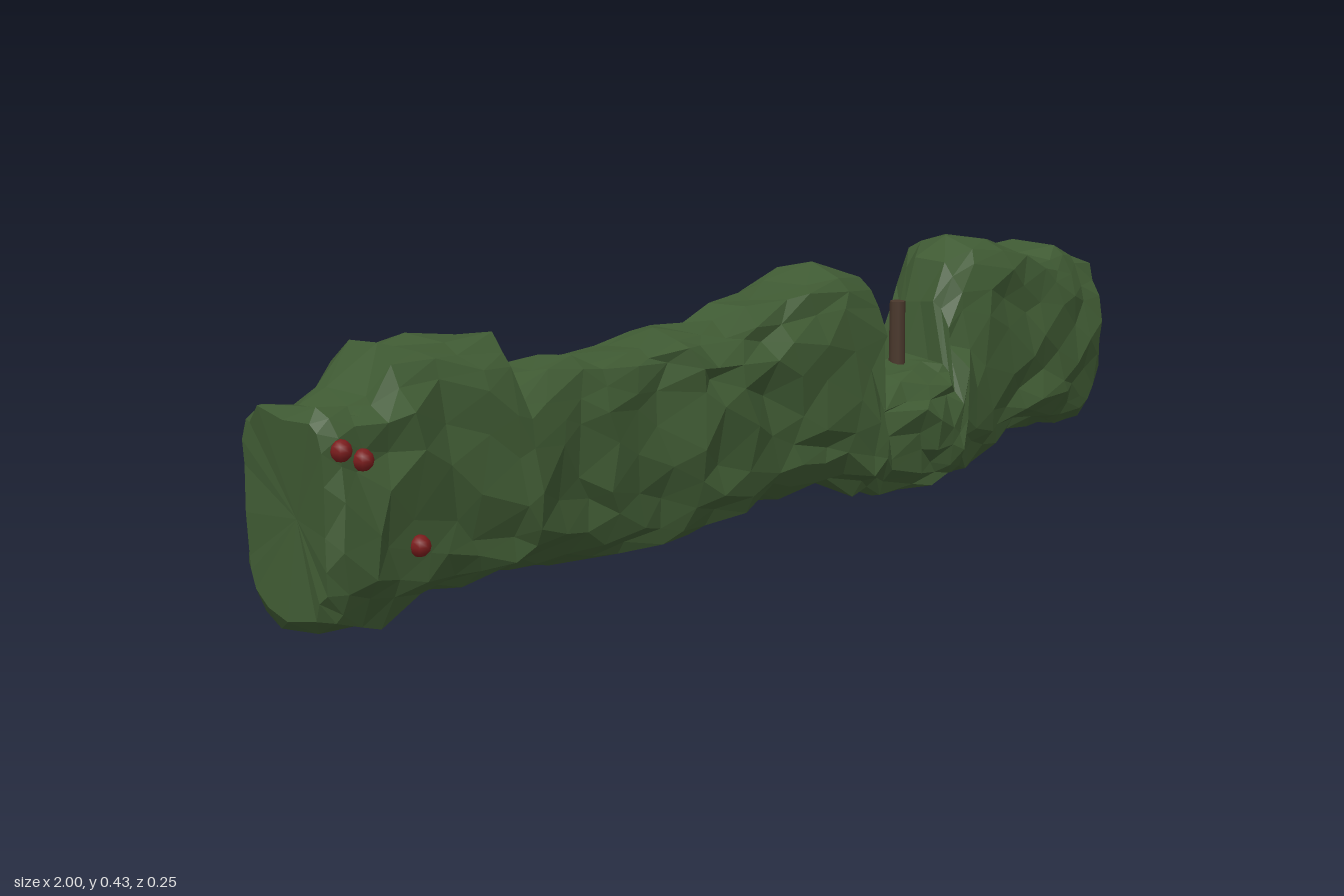
import * as THREE from 'three';

// Small seeded random number in -1..1
let seed = 7;
function rnd() {
  seed = (seed * 16807) % 2147483647;
  return (seed / 2147483647) * 2 - 1;
}

// Linear interpolation through [x, value] pairs
function sample(pairs, x) {
  for (let i = 1; i < pairs.length; i++) {
    const [xa, a] = pairs[i - 1], [xb, b] = pairs[i];
    if (x <= xb) return a + (b - a) * Math.max(0, (x - xa) / (xb - xa));
  }
  return pairs[pairs.length - 1][1];
}

// Outline of the hedge along x, with a gap from 0.3 to 0.53
const bottomLine = [[-1, 0.045], [-0.93, 0.02], [-0.85, 0.02], [-0.73, 0.055], [-0.6, 0.05], [-0.5, 0.035], [-0.35, 0.02],
  [-0.1, 0.02], [0.1, 0.05], [0.27, 0.045], [0.3, 0.01], [0.45, 0], [0.62, 0.01], [0.75, 0.05], [0.85, 0.045], [0.96, 0.02], [1, 0.03]];
const topLine = [[-1, 0.37], [-0.95, 0.36], [-0.87, 0.375], [-0.82, 0.425], [-0.62, 0.42], [-0.595, 0.345],
  [-0.5, 0.365], [-0.4, 0.35], [-0.3, 0.34], [-0.2, 0.37], [-0.1, 0.345], [0, 0.37], [0.1, 0.385], [0.2, 0.42],
  [0.27, 0.39], [0.31, 0.38], [0.334, 0.34], [0.336, 0.18], [0.36, 0.195], [0.43, 0.215], [0.515, 0.212], [0.535, 0.31],
  [0.555, 0.38], [0.62, 0.415], [0.75, 0.4], [0.8, 0.375], [0.88, 0.36], [0.92, 0.37], [0.97, 0.35], [1, 0.33]];
const frontLine = [[-1, 0.11], [-0.85, 0.116], [-0.75, 0.094], [-0.6, 0.12], [-0.5, 0.095], [-0.4, 0.097], [-0.3, 0.088],
  [-0.2, 0.106], [-0.1, 0.102], [0, 0.094], [0.1, 0.112], [0.2, 0.102], [0.3, 0.108], [0.35, 0.122], [0.5, 0.114],
  [0.6, 0.106], [0.75, 0.094], [0.85, 0.112], [1, 0.092]];
const backLine = [[-1, 0.105], [-0.8, 0.122], [-0.65, 0.112], [-0.55, 0.093], [-0.4, 0.106], [-0.3, 0.102], [-0.15, 0.102],
  [-0.03, 0.117], [0.1, 0.102], [0.2, 0.107], [0.3, 0.088], [0.36, 0.105], [0.45, 0.1], [0.55, 0.115], [0.75, 0.102], [0.87, 0.122], [1, 0.11]];
// Width of the upper half: rounded off at both sides of the gap
const upperWidth = [[0.2, 1], [0.31, 0.85], [0.33, 0.68], [0.336, 1], [0.515, 1], [0.535, 0.62], [0.56, 0.78], [0.62, 1]];

const berrySpots = [[-0.97, 0.31, 0.09], [-0.93, 0.29, 0.092], [-0.83, 0.145, 0.102], [-0.86, 0.3, -0.098], [-0.945, 0.185, -0.1]];

// Ring positions, closer together at the steps in the outline
function stations() {
  const xs = [-1, -0.975, -0.93, -0.88, -0.82, -0.75, -0.69, -0.62, -0.595];
  for (let i = 1; i <= 12; i++) xs.push(-0.595 + i * 0.0665);
  xs.push(0.31, 0.33, 0.336, 0.385, 0.44, 0.49, 0.515, 0.535, 0.56, 0.62);
  xs.push(0.68, 0.75, 0.8, 0.85, 0.9, 0.945, 0.977, 1);
  return xs;
}

// Faceted foliage: one closed skin of jittered, staggered rings
function foliageGeometry() {
  const sides = 20, xs = stations(), last = xs.length - 1, pos = [], index = [];
  xs.forEach((x0, i) => {
    const end = i === 0 || i === last;
    const room = end ? 0 : Math.min(x0 - xs[i - 1], xs[i + 1] - x0) * 0.35;
    const lo = sample(bottomLine, x0), hi = sample(topLine, x0);
    const mound = x0 > 0.334 && x0 < 0.52;
    const overhang = x0 > 0.3 && x0 < 0.34;
    const waist = mound ? 0.105 : 0.19;
    const wide = end ? 0.86 : 1, tall = end ? 0.93 : 1;
    for (let j = 0; j < sides; j++) {
      const a = (j + (i % 2) * 0.5) / sides * Math.PI * 2;
      const c = Math.cos(a), n = Math.sin(a), up = n > 0;
      const span = (up ? hi - waist : waist - lo) * tall;
      const rise = Math.pow(Math.abs(n), up ? 0.75 : 0.8) * span;
      const power = up ? (mound ? 0.75 : 0.5) : (x0 > 0.28 && x0 < 0.6 ? 0.3 : 0.5);
      const edge = sample(c > 0 ? frontLine : backLine, x0);
      const half = (edge * 0.97 + rnd() * 0.014) * wide * (up ? sample(upperWidth, x0) : 1);
      let x = x0 + (end ? -Math.sign(x0) * Math.abs(rnd()) * 0.006 : rnd() * room);
      // The wall left of the gap leans out over the low mound
      if (overhang && (mound || n < 0.4)) x -= mound ? 0.03 : 0.045;
      const y = Math.max(0, waist + (up ? rise : -rise) + rnd() * Math.min(0.012, span * 0.2));
      let z = Math.sign(c) * Math.pow(Math.abs(c), power) * half;
      // Nestle the skin behind each berry
      for (const [bx, by, bz] of berrySpots) {
        if (!end && z * bz > 0 && Math.abs(x - bx) < 0.065 && Math.abs(y - by) < 0.045) z = bz * 0.97;
      }
      pos.push(x, y, z);
    }
  });
  for (let i = 0; i < last; i++) for (let j = 0; j < sides; j++) {
    const a = i * sides + j, b = i * sides + (j + 1) % sides, c = a + sides, d = b + sides;
    if (i % 2) index.push(a, c, d, a, d, b);
    else index.push(a, c, b, b, c, d);
  }
  // End caps, slightly hollow
  const near = pos.length / 3, far = near + 1, e = last * sides;
  pos.push(-0.985, 0.2, 0.01, 0.99, 0.18, -0.01);
  for (let j = 0; j < sides; j++) {
    const k = (j + 1) % sides;
    index.push(near, j, k, far, e + k, e + j);
  }
  const g = new THREE.BufferGeometry();
  g.setAttribute('position', new THREE.Float32BufferAttribute(pos, 3));
  g.setIndex(index);
  const faceted = g.toNonIndexed();
  faceted.computeVertexNormals();
  return faceted;
}

export function createModel() {
  seed = 7;
  const leaf = new THREE.MeshStandardMaterial({ name: 'leaf green', color: 0x3f5a33 });
  const bark = new THREE.MeshStandardMaterial({ name: 'bark brown', color: 0x4a382c });
  const red = new THREE.MeshStandardMaterial({ name: 'berry red', color: 0x7a1c1c });
  const model = new THREE.Group();
  model.name = 'hedge';

  const foliage = new THREE.Mesh(foliageGeometry(), leaf);
  foliage.name = 'foliage';
  model.add(foliage);

  // Bare stem standing in the gap
  const stem = new THREE.Mesh(new THREE.CylinderGeometry(0.014, 0.015, 0.14, 8), bark);
  stem.name = 'stem';
  stem.position.set(0.467, 0.25, 0);
  model.add(stem);

  // Berries
  for (const p of berrySpots) {
    const berry = new THREE.Mesh(new THREE.SphereGeometry(0.017, 8, 6), red);
    berry.name = 'berry';
    berry.position.set(...p);
    model.add(berry);
  }
  return model;
}
